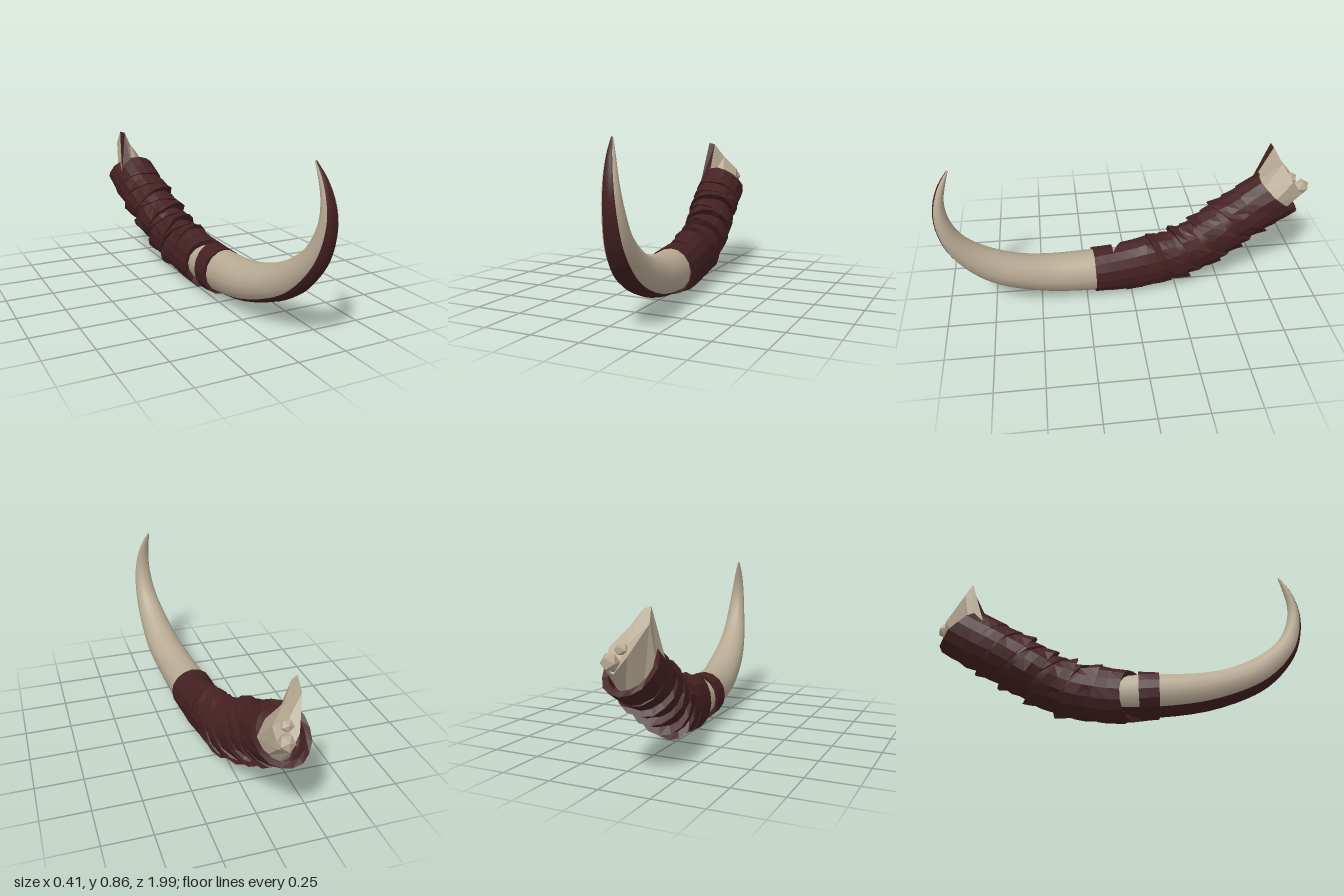
import * as THREE from 'three';

const V = (x, y, z) => new THREE.Vector3(x, y, z);

// Skin over closed rings of points; paint(i, j) picks the material slot of each quad
function loft(rings, { flat = false, capEnd = null, paint = () => 0 } = {}) {
  const n = rings[0].length;
  const pos = rings.flat().flatMap((p) => [p.x, p.y, p.z]);
  const slots = [[], []];
  for (let i = 0; i < rings.length - 1; i++) {
    for (let j = 0; j < n; j++) {
      const k = (j + 1) % n;
      const a = i * n + j, b = i * n + k, c = a + n, d = b + n;
      slots[paint(i, j)].push(a, c, b, b, c, d);
    }
  }
  if (capEnd) {
    const m = pos.length / 3, base = (rings.length - 1) * n;
    pos.push(capEnd.x, capEnd.y, capEnd.z);
    for (let j = 0; j < n; j++) slots[0].push(base + j, m, base + (j + 1) % n);
  }
  let g = new THREE.BufferGeometry();
  g.setAttribute('position', new THREE.Float32BufferAttribute(pos, 3));
  g.setIndex([...slots[0], ...slots[1]]);
  if (flat) g = g.toNonIndexed();
  g.addGroup(0, slots[0].length, 0);
  g.addGroup(slots[0].length, slots[1].length, 1);
  g.computeVertexNormals();
  return g;
}

let seed = 7;
const rand = () => {
  seed = (seed * 16807) % 2147483647;
  return seed / 2147483647 * 2 - 1;
};

// Handle centre line, front to back
const spine = new THREE.CatmullRomCurve3([
  V(0.045, 0.157, 0.21), V(0.03, 0.157, 0), V(0.015, 0.177, -0.17), V(-0.005, 0.235, -0.36),
  V(-0.035, 0.335, -0.53), V(-0.06, 0.43, -0.69), V(-0.07, 0.505, -0.82),
]);

// Point on the handle's surface at length u, angle th, radius factor k
function onHandle(u, th, k) {
  const t = THREE.MathUtils.clamp(u, 0, 1);
  const T = spine.getTangentAt(t);
  const side = T.clone().cross(V(0, 1, 0)).normalize();
  const up = side.clone().cross(T);
  const rx = 0.12 + 0.01 * t - 0.017 * Math.sin(Math.PI * Math.min(1, t / 0.6));
  const ry = 0.123 + 0.025 * Math.min(1, 4 * t);
  return spine.getPointAt(t)
    .addScaledVector(T, (u - t) * 1.12)
    .addScaledVector(side, rx * k * Math.cos(th))
    .addScaledVector(up, ry * k * Math.sin(th));
}

const SIDES = 16;
const angles = Array.from({ length: SIDES }, (_, j) => j / SIDES * Math.PI * 2);

// One tilted, crumpled strip with thick edges; flare lifts its upper front and lower back edges
function band(u0, u1, radius, flare, tx, ty, rough) {
  const profile = [[0.05, 0.82, 0], [0, radius, flare], [0.5, radius, 0], [1, radius, -flare], [0.95, 0.82, 0]];
  return loft(profile.map(([f, k, lift], i) => angles.map((th) => {
    const edge = i === 0 || i === 4 ? 0 : rough;
    const u = u0 + (u1 - u0) * f + tx * Math.cos(th) + ty * Math.sin(th) + edge * 0.2 * rand();
    return onHandle(u, th, k + lift * Math.sin(th) + edge * rand());
  })), { flat: true });
}

export function createModel() {
  const bone = new THREE.MeshStandardMaterial({ color: 0xb8aa94 });
  const dark = new THREE.MeshStandardMaterial({ color: 0x452122, side: THREE.DoubleSide });
  const model = new THREE.Group();
  const add = (name, geo, mat, parent = model) => {
    const m = new THREE.Mesh(geo, mat);
    m.name = name;
    parent.add(m);
    return m;
  };

  // Curved tusk: outer z, y; inner z, y; centre x; half width
  const sections = [
    [-0.02, 0.05, -0.02, 0.262, 0.032, 0.094],
    [0.08, 0.045, 0.08, 0.27, 0.04, 0.103],
    [0.21, 0.045, 0.21, 0.275, 0.05, 0.108],
    [0.46, 0.078, 0.41, 0.28, 0.07, 0.105],
    [0.68, 0.155, 0.57, 0.312, 0.1, 0.099],
    [0.80, 0.225, 0.69, 0.36, 0.115, 0.089],
    [0.89, 0.315, 0.79, 0.42, 0.128, 0.077],
    [0.957, 0.42, 0.86, 0.485, 0.14, 0.064],
    [0.991, 0.53, 0.905, 0.56, 0.147, 0.053],
    [1.0, 0.63, 0.93, 0.64, 0.147, 0.043],
    [0.985, 0.72, 0.933, 0.72, 0.14, 0.033],
    [0.953, 0.80, 0.917, 0.795, 0.129, 0.021],
    [0.903, 0.87, 0.895, 0.868, 0.115, 0.005],
  ];
  const outer = new THREE.CatmullRomCurve3(sections.map((s) => V(s[4], s[1], s[0])));
  const inner = new THREE.CatmullRomCurve3(sections.map((s) => V(s[4], s[3], s[2])));
  const width = new THREE.CatmullRomCurve3(sections.map((s, i) => V(i * 0.1, s[5], 0)));
  const around = [-42, -21, 0, 21, 42, 66, 90, 114, 138, 160, 180, 200, 222, 246, 270, 294];
  const rings = [];
  for (let i = 0; i <= 36; i++) {
    const o = outer.getPoint(i / 36), n = inner.getPoint(i / 36), w = width.getPoint(i / 36).y;
    const mid = o.clone().add(n).multiplyScalar(0.5);
    const half = o.clone().sub(n).multiplyScalar(0.5);
    rings.push(around.map((deg) => {
      const t = deg * Math.PI / 180;
      return mid.clone().addScaledVector(half, Math.cos(t)).add(V(-w * Math.sin(t), 0, 0));
    }));
  }
  // The outer four columns carry the dark stripe
  add('tusk', loft(rings, { capEnd: V(0.115, 0.872, 0.899), paint: (i, j) => (j < 4 ? 1 : 0) }), [bone, dark]);

  // Handle core under the wrapping
  const wrapping = new THREE.Group();
  wrapping.name = 'handleWrapping';
  model.add(wrapping);
  const core = [0.25, 0.35, 0.45, 0.55, 0.65, 0.75, 0.85, 0.93];
  add('handleCore', loft(core.map((u) => angles.map((th) => onHandle(u, th, 0.88))),
    { capEnd: spine.getPointAt(0.93) }), dark, wrapping);

  // Wrapping strips: start, end, radius, flare, sideways and vertical tilt, roughness
  const strips = [
    [0.0, 0.095, 1.01, 0, 0, 0, 0.008],
    [0.12, 0.25, 1.03, 0, -0.065, -0.005, 0.008],
    [0.165, 0.28, 1.03, -0.04, -0.022, 0, 0.015],
    [0.24, 0.35, 1.01, 0.04, -0.02, -0.03, 0.03],
    [0.32, 0.42, 1.04, 0.14, 0.01, -0.03, 0.035],
    [0.40, 0.48, 1.0, 0.05, -0.03, -0.05, 0.035],
    [0.46, 0.55, 1.04, 0.13, 0.025, -0.03, 0.035],
    [0.53, 0.61, 0.99, 0.05, -0.03, -0.05, 0.035],
    [0.59, 0.69, 1.04, 0.13, 0.02, -0.025, 0.035],
    [0.67, 0.75, 1.0, 0.08, -0.035, -0.05, 0.035],
    [0.73, 0.82, 1.04, 0.11, 0.02, -0.03, 0.035],
    [0.80, 0.89, 1.01, 0.06, -0.02, -0.05, 0.03],
    [0.88, 1.01, 1.03, 0.0, -0.015, -0.045, 0.02],
  ];
  strips.forEach((s, i) => add('wrapStrip' + (i + 1), band(...s), dark, wrapping));

  // Broken bone end rising out of the wrapping, with a dark front face
  const stubBase = [
    V(0.02, 0.46, -0.76), V(-0.03, 0.5, -0.7), V(-0.115, 0.53, -0.68), V(-0.175, 0.52, -0.7),
    V(-0.175, 0.42, -0.76), V(-0.12, 0.36, -0.82), V(-0.05, 0.36, -0.84), V(0, 0.4, -0.82),
  ];
  const stubTop = [
    V(0.0, 0.6, -0.885), V(-0.07, 0.68, -0.84), V(-0.118, 0.76, -0.795), V(-0.15, 0.77, -0.785),
    V(-0.16, 0.7, -0.82), V(-0.11, 0.57, -0.93), V(-0.06, 0.5, -0.955), V(-0.01, 0.52, -0.945),
  ];
  add('brokenEnd', loft([stubBase, stubTop], {
    flat: true, capEnd: V(-0.085, 0.62, -0.87), paint: (i, j) => (j === 2 ? 1 : 0),
  }), [bone, dark]);
  // Splintered lumps sunk into the break: position, then half sizes
  const lumps = [[-0.042, 0.548, -0.948, 0.042, 0.045, 0.045], [-0.065, 0.595, -0.89, 0.035, 0.03, 0.035]];
  for (const [x, y, z, ...size] of lumps) {
    const lump = add('boneSplinter', new THREE.IcosahedronGeometry(1, 0), bone);
    lump.scale.set(...size);
    lump.position.set(x, y, z);
  }
  return model;
}
